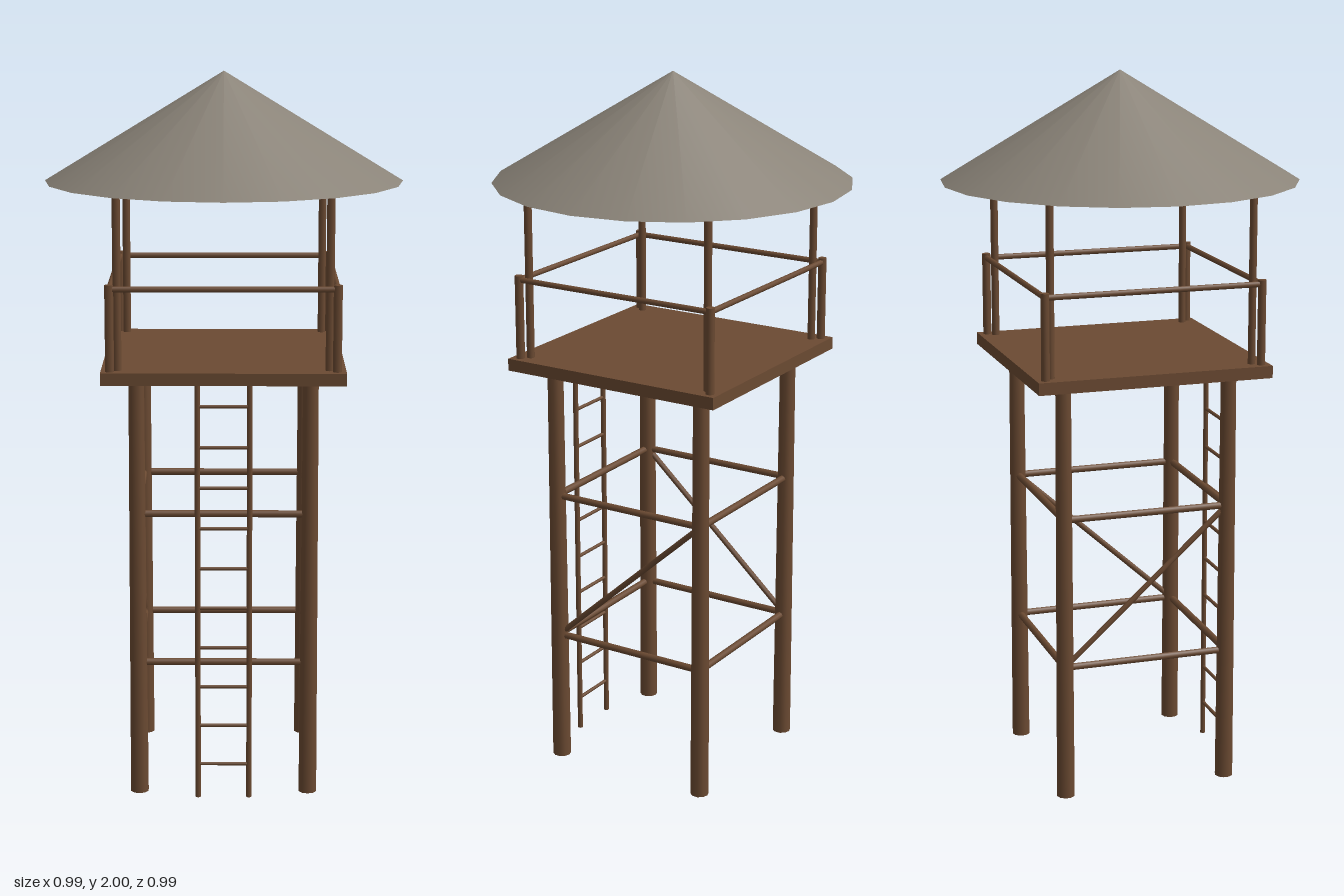
import * as THREE from 'three';

const mat = (name, color) => {
  const m = new THREE.MeshStandardMaterial({ color });
  m.name = name;
  return m;
};

export function createModel() {
  const tower = new THREE.Group();
  tower.name = 'watchtower';
  const wood = mat('brown wood', 0x6b4a32);
  const thatch = mat('grey roof', 0x8a8378);

  const add = (name, geometry, material) => {
    const mesh = new THREE.Mesh(geometry, material);
    mesh.name = name;
    tower.add(mesh);
    return mesh;
  };

  // Round pole running from point a to point b
  const pole = (name, a, b, rA, rB = rA, sides = 8) => {
    const start = new THREE.Vector3(...a);
    const dir = new THREE.Vector3(...b).sub(start);
    const mesh = add(name, new THREE.CylinderGeometry(rB, rA, dir.length(), sides), wood);
    mesh.position.copy(start).addScaledVector(dir, 0.5);
    mesh.quaternion.setFromUnitVectors(new THREE.Vector3(0, 1, 0), dir.normalize());
  };

  const corners = [[1, 1], [1, -1], [-1, -1], [-1, 1]];
  const LEG = 0.237, ROOF_POST = 0.285, RAIL = 0.305;

  corners.forEach(([sx, sz], i) => {
    const [nx, nz] = corners[(i + 1) % 4];
    // Tapered leg, roof post and railing post at each corner
    pole('leg', [sx * LEG, 0, sz * LEG], [sx * LEG, 1.19, sz * LEG], 0.026, 0.022, 10);
    pole('roofPost', [sx * ROOF_POST, 1.21, sz * ROOF_POST], [sx * ROOF_POST, 1.71, sz * ROOF_POST], 0.011);
    pole('railPost', [sx * RAIL, 1.21, sz * RAIL], [sx * RAIL, 1.457, sz * RAIL], 0.012);
    // Handrail and cross beams to the next corner
    pole('handrail', [sx * RAIL, 1.445, sz * RAIL], [nx * RAIL, 1.445, nz * RAIL], 0.008);
    for (const y of [0.382, 0.81]) {
      pole('crossBeam', [sx * LEG, y, sz * LEG], [nx * LEG, y, nz * LEG], 0.01);
    }
  });

  // One diagonal brace on each side, leaning opposite ways
  for (const s of [1, -1]) {
    pole('diagonalBrace', [s * LEG, 0.382, s * LEG], [s * LEG, 0.81, -s * LEG], 0.008);
  }

  // Platform
  add('platform', new THREE.BoxGeometry(0.66, 0.034, 0.66), wood).position.y = 1.205;

  // Ladder on the front
  const ladderZ = 0.285;
  for (const s of [1, -1]) {
    pole('ladderRail', [s * 0.071, 0, ladderZ], [s * 0.071, 1.19, ladderZ], 0.0075);
  }
  for (let i = 0; i < 10; i++) {
    const y = 0.098 + i * 0.1138;
    pole('ladderRung', [-0.071, y, ladderZ], [0.071, y, ladderZ], 0.005);
  }

  // Conical roof
  add('roof', new THREE.ConeGeometry(0.495, 0.3, 20), thatch).position.y = 1.85;

  return tower;
}
